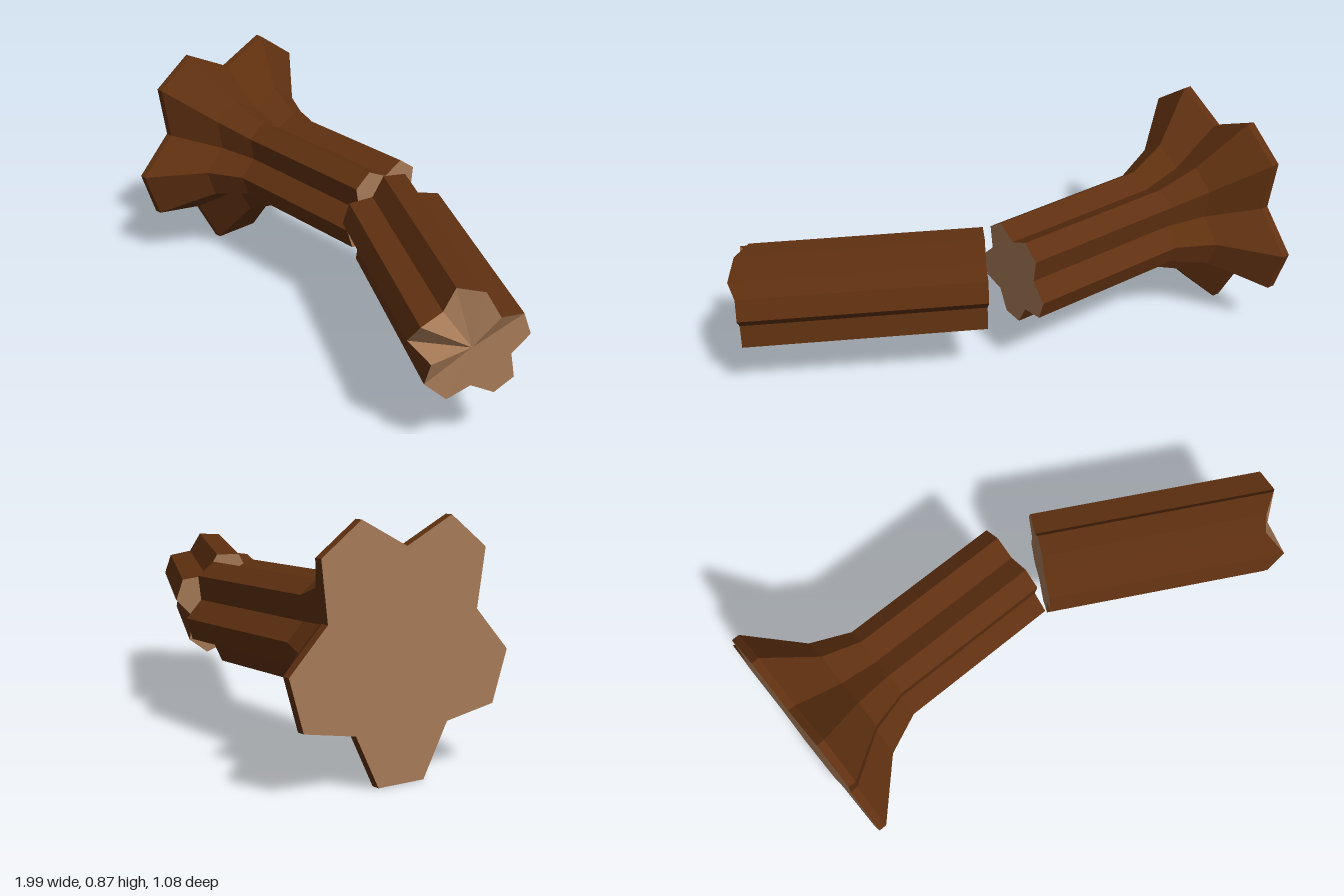
import * as THREE from 'three';

const LOBES = 5;
const TIP = 0.457, VALLEY = 0.326, HALF_TIP = 12; // star radii and half tip width in degrees

// Star ring of 15 points (two tips and a valley per lobe) around a centre.
// side = horizontal direction across the log, axis = direction along it, jag = offsets along the axis
function starRing(centre, side, axis, scale, phase, jag = {}) {
  const points = [];
  for (let i = 0; i < LOBES; i++) {
    const mid = phase + i * 72;
    [[mid - HALF_TIP, TIP], [mid + HALF_TIP, TIP], [mid + 36, VALLEY]].forEach(([deg, r]) => {
      const a = THREE.MathUtils.degToRad(deg);
      points.push(centre.clone()
        .addScaledVector(side, Math.cos(a) * r * scale)
        .add(new THREE.Vector3(0, Math.sin(a) * r * scale, 0))
        .addScaledVector(axis, jag[points.length] || 0));
    });
  }
  return points;
}

function meshFrom(triangles, material, name) {
  const geometry = new THREE.BufferGeometry().setFromPoints(triangles);
  geometry.computeVertexNormals();
  const mesh = new THREE.Mesh(geometry, material);
  mesh.name = name;
  return mesh;
}

// Bark skin through the rings, plus a cut face at each end
function buildLog(name, rings, centres, bark, wood) {
  const group = new THREE.Group();
  group.name = name;
  const skin = [], startCap = [], endCap = [];
  const n = rings[0].length, last = rings.length - 1;
  for (let j = 0; j < n; j++) {
    const k = (j + 1) % n;
    for (let i = 0; i < last; i++) {
      const a = rings[i][j], b = rings[i][k], c = rings[i + 1][k], d = rings[i + 1][j];
      skin.push(a, d, c, a, c, b);
    }
    startCap.push(centres[0], rings[0][j], rings[0][k]);
    endCap.push(centres[last], rings[last][k], rings[last][j]);
  }
  group.add(
    meshFrom(skin, bark, name + 'Bark'),
    meshFrom(startCap, wood, name + 'StartCut'),
    meshFrom(endCap, wood, name + 'EndCut'));
  return group;
}

export function createModel() {
  const bark = new THREE.MeshStandardMaterial({ color: 0x5f3010 });
  bark.name = 'bark brown';
  const wood = new THREE.MeshStandardMaterial({ color: 0xa67a57 });
  wood.name = 'cut wood tan';
  bark.flatShading = wood.flatShading = true;

  const model = new THREE.Group();
  model.name = 'brokenTrunk';

  // Stump half: flared root end narrowing to a straight trunk along x
  const xAxis = new THREE.Vector3(1, 0, 0), zAxis = new THREE.Vector3(0, 0, 1);
  const sections = [
    [-1, 0.45, 1], [-0.97, 0.45, 1], [-0.79, 0.453, 0.586], [-0.64, 0.452, 0.44], [-0.003, 0.443, 0.44],
  ];
  const trunkCentres = sections.map(([x, y]) => new THREE.Vector3(x, y, -0.093));
  const trunkRings = sections.map(([, , s], i) => starRing(trunkCentres[i], zAxis, xAxis, s, -90.5));
  model.add(buildLog('rootTrunk', trunkRings, trunkCentres, bark, wood));

  // Fallen half: straight log turned away from the stump, with a slightly splintered end
  const start = new THREE.Vector3(0.095, 0.44, -0.045);
  const end = new THREE.Vector3(0.9, 0.425, 0.383);
  const axis = end.clone().sub(start).normalize();
  const side = new THREE.Vector3(-axis.z, 0, axis.x).normalize();
  const splinters = { 0: -0.06, 2: -0.05, 3: -0.05, 5: 0.03, 13: -0.03 };
  const logRings = [
    starRing(start, side, axis, 0.44, 18),
    starRing(end, side, axis, 0.44, 18, splinters),
  ];
  model.add(buildLog('fallenLog', logRings, [start, end], bark, wood));

  return model;
}
